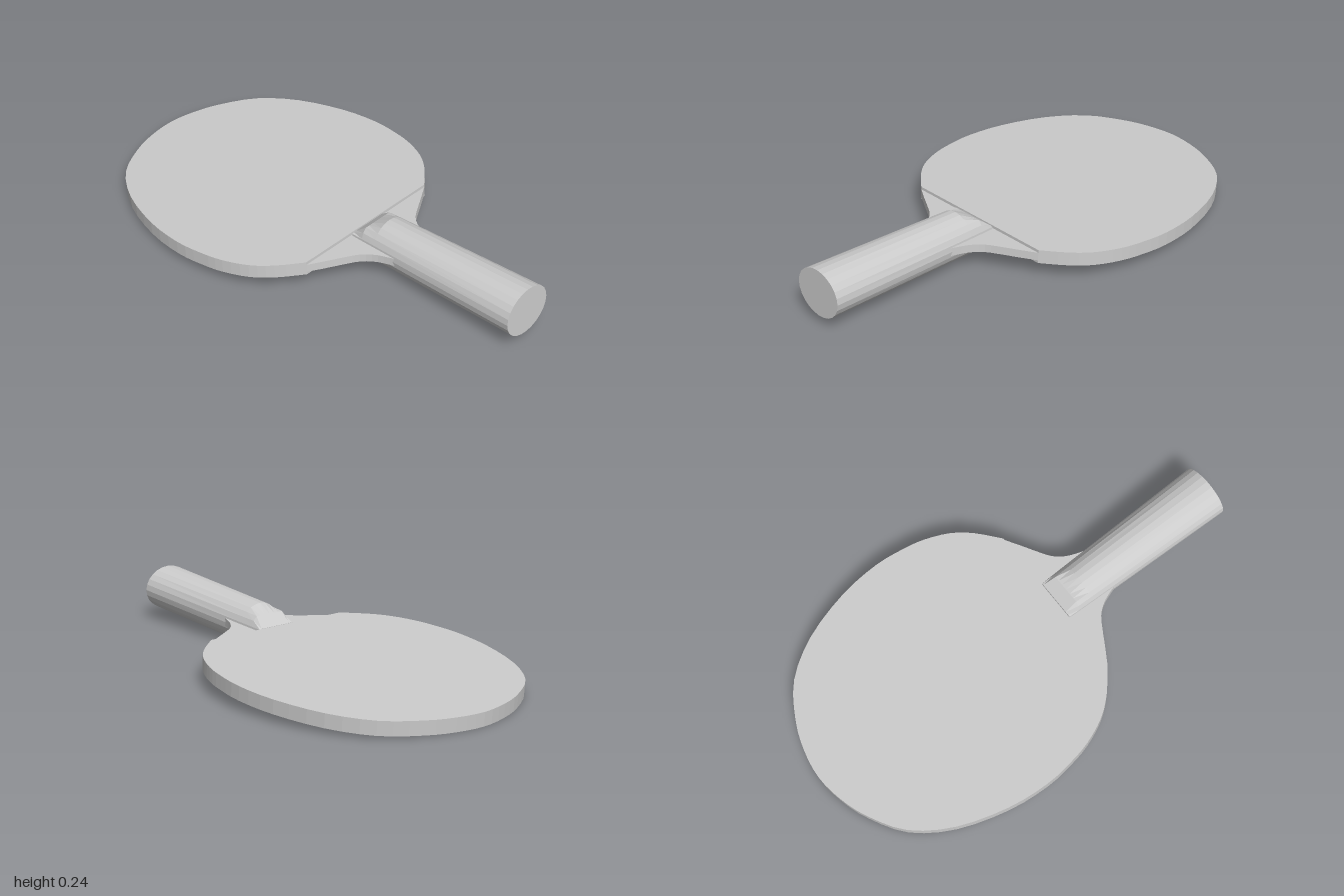
import * as THREE from 'three';

const material = new THREE.MeshStandardMaterial({ color: 0xcccccc, flatShading: true });
const v2 = ([x, y]) => new THREE.Vector2(x, y);

// One half of the head, from the far tip to the straight edge of the rubber
const headHalf = [
  [-0.705, 0], [-0.687, 0.126], [-0.643, 0.247], [-0.55, 0.39], [-0.39, 0.498],
  [-0.18, 0.565], [0, 0.584], [0.13, 0.572], [0.23, 0.55], [0.333, 0.505],
  [0.412, 0.442], [0.492, 0.348],
];
// One half of the flare that narrows into the handle
const neckHalf = [
  [0.492, 0.348], [0.535, 0.278], [0.572, 0.215], [0.605, 0.165],
  [0.648, 0.13], [0.7, 0.108], [0.76, 0.09],
];

const headCurve = new THREE.SplineCurve([
  ...headHalf.slice(1).reverse().map(([x, y]) => v2([x, -y])),
  ...headHalf.map(v2),
]).getPoints(66);

// Flat plate with the given outline, lying between two heights
function plate(name, points, bottom, top) {
  const geometry = new THREE.ExtrudeGeometry(new THREE.Shape(points), {
    depth: top - bottom, bevelEnabled: false,
  });
  geometry.rotateX(-Math.PI / 2).translate(0, bottom, 0);
  const mesh = new THREE.Mesh(geometry, material);
  mesh.name = name;
  return mesh;
}

// Oval grip, its front end cut to a wedge above and below
function handleGeometry() {
  const sides = 24, halfHeight = 0.098;
  // position along the grip, half width, greatest half height
  const sections = [
    [0.497, 0.095, 0.028], [0.55, 0.097, 0.067], [0.615, 0.099, 0.098], [1.297, 0.117, 0.098],
  ];
  const positions = [], index = [];
  for (const [x, halfWidth, limit] of sections) {
    for (let j = 0; j < sides; j++) {
      const a = (j / sides) * Math.PI * 2;
      const y = THREE.MathUtils.clamp(Math.sin(a) * halfHeight, -limit, limit);
      positions.push(x, y, Math.cos(a) * halfWidth);
    }
  }
  const last = (sections.length - 1) * sides;
  const startCentre = last + sides, endCentre = startCentre + 1;
  positions.push(sections[0][0], 0, 0, sections[sections.length - 1][0], 0, 0);
  for (let j = 0; j < sides; j++) {
    const k = (j + 1) % sides;
    for (let r = 0; r < last; r += sides) {
      index.push(r + j, r + sides + j, r + k, r + sides + j, r + sides + k, r + k);
    }
    index.push(startCentre, j, k, endCentre, last + k, last + j);
  }
  const geometry = new THREE.BufferGeometry();
  geometry.setAttribute('position', new THREE.Float32BufferAttribute(positions, 3));
  geometry.setIndex(index);
  const flat = geometry.toNonIndexed();
  flat.computeVertexNormals();
  return flat;
}

export function createModel() {
  const model = new THREE.Group();
  model.name = 'tableTennisBat';

  // Wooden core: head plus neck
  const neck = new THREE.SplineCurve(neckHalf.map(v2)).getPoints(14).slice(1);
  const mirroredNeck = neck.map((p) => new THREE.Vector2(p.x, -p.y)).reverse();
  model.add(plate('woodenBlade', [...headCurve, ...neck, ...mirroredNeck], -0.017, 0.017));

  // Rubber sheets on both faces, ending in a straight edge at the neck
  model.add(plate('topRubber', headCurve, 0.017, 0.029));
  model.add(plate('bottomRubber', headCurve, -0.029, -0.017));

  const handle = new THREE.Mesh(handleGeometry(), material);
  handle.name = 'handle';
  model.add(handle);

  // The bat rests at a slight angle on its head tip and grip
  const deg = Math.PI / 180;
  model.rotation.set(0.5 * deg, -8 * deg, 3.1 * deg, 'YZX');
  model.position.set(-0.3, 0.07, 0);

  const root = new THREE.Group();
  root.name = 'restingBat';
  root.add(model);
  return root;
}
